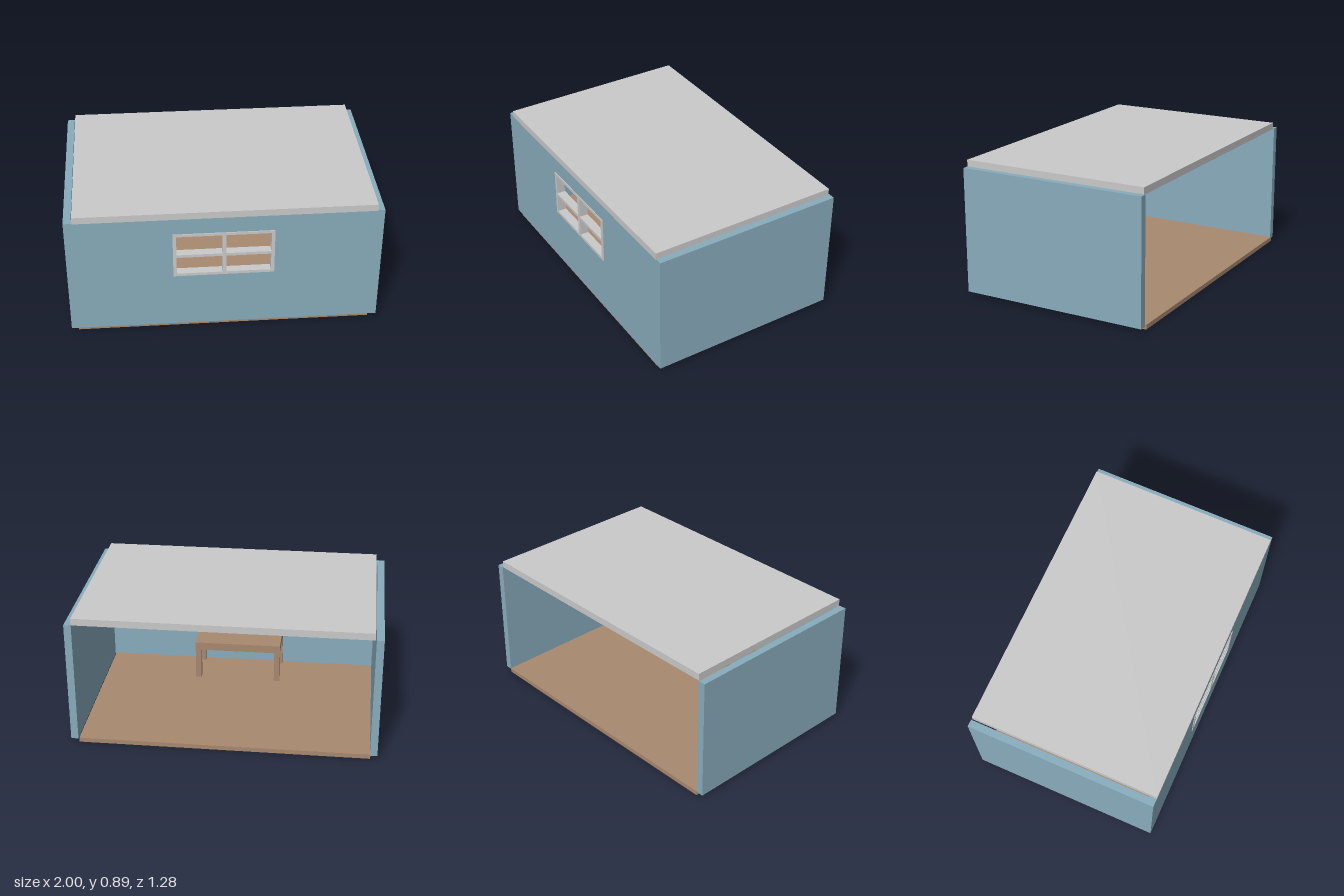
import * as THREE from 'three';

export function createModel() {
  const room = new THREE.Group();
  room.name = 'room';

  const material = (name, color) => {
    const m = new THREE.MeshStandardMaterial({ color });
    m.name = name;
    return m;
  };
  const wallBlue = material('wall blue', 0x88acbc);
  const paleGrey = material('pale grey', 0xcacaca);
  const woodBrown = material('wood brown', 0xa8896f);

  // Box given by its minimum and maximum corners
  const box = (parent, name, mat, [x0, y0, z0], [x1, y1, z1]) => {
    const mesh = new THREE.Mesh(new THREE.BoxGeometry(x1 - x0, y1 - y0, z1 - z0), mat);
    mesh.position.set((x0 + x1) / 2, (y0 + y1) / 2, (z0 + z1) / 2);
    mesh.name = name;
    parent.add(mesh);
  };

  const group = (name) => {
    const g = new THREE.Group();
    g.name = name;
    room.add(g);
    return g;
  };

  // Floor and ceiling slabs
  box(room, 'floor', woodBrown, [-0.955, 0, -0.64], [0.945, 0.03, 0.63]);
  box(room, 'ceiling', paleGrey, [-0.945, 0.842, -0.628], [0.955, 0.888, 0.64]);

  // Side walls; the back stays open
  box(room, 'rightWall', wallBlue, [-1, 0.02, -0.635], [-0.952, 0.845, 0.638]);
  box(room, 'leftWall', wallBlue, [0.952, 0.02, -0.635], [1, 0.845, 0.638]);

  // Front wall with the window opening
  const rect = (path, x0, y0, x1, y1) =>
    path.moveTo(x0, y0).lineTo(x1, y0).lineTo(x1, y1).lineTo(x0, y1).closePath();
  const wallShape = new THREE.Shape();
  rect(wallShape, -0.952, 0.02, 0.952, 0.841);
  const opening = new THREE.Path();
  rect(opening, -0.325, 0.415, 0.31, 0.725);
  wallShape.holes.push(opening);
  const frontWall = new THREE.Mesh(
    new THREE.ExtrudeGeometry(wallShape, { depth: 0.048, bevelEnabled: false }), wallBlue);
  frontWall.position.z = 0.59;
  frontWall.name = 'frontWall';
  room.add(frontWall);

  // Window frame: a single plate with four panes cut out
  const frameShape = new THREE.Shape();
  rect(frameShape, -0.33, 0.408, 0.314, 0.73);
  for (const [x0, x1] of [[-0.308, -0.018], [0.008, 0.292]]) {
    for (const [y0, y1] of [[0.428, 0.552], [0.572, 0.711]]) {
      const pane = new THREE.Path();
      rect(pane, x0, y0, x1, y1);
      frameShape.holes.push(pane);
    }
  }
  const windowFrame = new THREE.Mesh(
    new THREE.ExtrudeGeometry(frameShape, { depth: 0.057, bevelEnabled: false }), paleGrey);
  windowFrame.position.z = 0.586;
  windowFrame.name = 'windowFrame';
  room.add(windowFrame);

  // Table under the window
  const table = group('table');
  const legWidth = 0.04;
  box(table, 'tableTop', woodBrown, [-0.3, 0.25, 0.28], [0.3, 0.305, 0.585]);
  for (const x of [-0.3, 0.3 - legWidth]) {
    for (const z of [0.28, 0.585 - legWidth]) {
      box(table, 'tableLeg', woodBrown, [x, 0.03, z], [x + legWidth, 0.25, z + legWidth]);
    }
  }

  return room;
}
